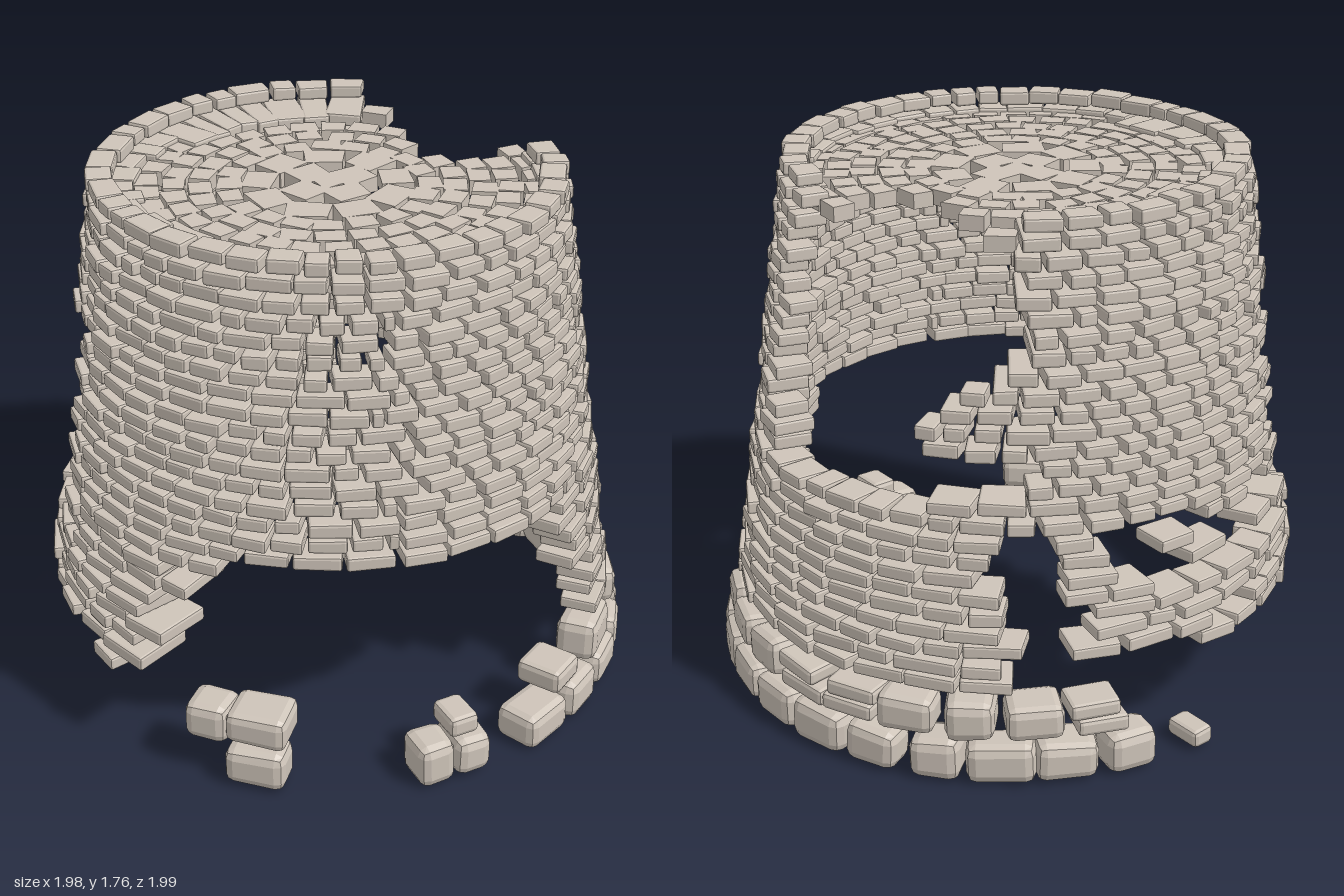
import * as THREE from 'three';
import { mergeGeometries } from 'three/addons/utils/BufferGeometryUtils.js';
import { RoundedBoxGeometry } from 'three/addons/geometries/RoundedBoxGeometry.js';

const CX = -0.035, CZ = 0.02, RAD = Math.PI / 180;
const material = new THREE.MeshStandardMaterial({ color: 0xcec4b9 });

let seed = 7;
const rand = (a = 0, b = 1) => {
  seed = (seed * 16807) % 2147483647;
  return a + (b - a) * (seed / 2147483647);
};

// One irregular stone: a rounded block, wedged and skewed a little,
// centred at radius r and angle deg (0 = front, 90 = +x)
function stone(w, h, d, r, deg, y, wobble = 0.03, round = 0.18) {
  const g = new RoundedBoxGeometry(w, h, d, 1, Math.min(w, h, d) * round);
  const p = g.attributes.position;
  const a = rand(-0.12, 0.12), b = rand(-0.12, 0.12);
  for (let i = 0; i < p.count; i++) {
    const x = p.getX(i), v = p.getY(i), z = p.getZ(i);
    p.setXYZ(i, x * (1 + a * z / d), v * (1 + b * x / w), z * (1 + a * x / w));
  }
  g.computeVertexNormals();
  g.rotateZ(rand(-wobble, wobble));
  g.rotateY(deg * RAD + rand(-wobble, wobble) * 2);
  g.translate(CX + r * Math.sin(deg * RAD), y, CZ + r * Math.cos(deg * RAD));
  return g;
}

// A flat paving slab with a slightly irregular outline
function slab(w, d, x, z, turn, y) {
  const g = new THREE.BoxGeometry(w, 0.05, d).toNonIndexed();
  const p = g.attributes.position;
  const a = rand(-0.2, 0.2), b = rand(-0.2, 0.2);
  for (let i = 0; i < p.count; i++) {
    const u = p.getX(i), v = p.getZ(i);
    p.setX(i, u * (1 + a * v / d));
    p.setZ(i, v * (1 + b * u / w));
  }
  g.computeVertexNormals();
  g.rotateY(turn);
  g.translate(x, y, z);
  return g;
}

// Ruined areas of the wall
function missing(t, y) {
  t += rand(-3, 3);
  const right = 58 - Math.max(0, y - 0.4) * 44;
  const left = 308 + (y - 0.4) * 34;
  if (y < 0.8 && (t < right || t > left)) return true;            // front opening
  if (y < 0.34 && t > 160 && t < 298) return true;                // lost footing
  if (t > 155 && t < 200 && y < 0.8) return rand() < 0.68;        // crumbled back
  if (t >= 200 && t < 216 && y > 0.42 && y < 0.8) return rand() < 0.7;
  if (t >= 216 && t < 236 && y > 0.53 && y < 0.8) return rand() < 0.6;
  if (t > 234 && t < 277 && y > 0.57 && y < 1.29) return true;    // side hole
  if (t > 94 && t < 140 && y > 0.86) return true;                 // upper breach
  return t >= 140 && t < 160 && (y > 1.27 || (y > 0.9 && y < 1.03));
}

const wallRadius = (y) => 0.76 + (1.74 - y) * 0.14;

// Radial thickness of the wall, heaviest around the upper back
function wallDepth(t, y) {
  if (y > 1.72) return 0.085;
  if (y < 0.75 && t > 290) return 0.2;
  if (y < 1.2) return rand(0.115, 0.145);
  if (t > 155 && t < 225) return rand(0.2, 0.25);
  if (t >= 225 && t < 305) return rand(0.14, 0.18);
  return rand(0.09, 0.11);
}

function addMerged(group, name, list) {
  const mesh = new THREE.Mesh(mergeGeometries(list), material);
  mesh.name = name;
  group.add(mesh);
}

export function createModel() {
  const model = new THREE.Group();
  model.name = 'ruinedTower';

  // Brick courses, longer and rougher towards the bottom
  const wall = new THREE.Group();
  wall.name = 'wall';
  model.add(wall);
  const rows = 26;
  for (let i = 0; i < rows; i++) {
    const y = 0.31 + (i * 1.43) / (rows - 1);
    const low = Math.max(0, 1 - i / 14);
    const R = wallRadius(y);
    const list = [];
    const start = rand(0, 8);
    let t = start;
    while (t < 360 + start - 3) {
      const len = rand(0.085, 0.15) + low * rand(0.02, 0.09);
      const step = Math.min(len / R / RAD, 360 + start - t);
      const mid = (t + step / 2) % 360;
      if (!missing(mid, y)) {
        const d = wallDepth(mid, y);
        const out = R + rand(-0.016, 0.006);
        list.push(stone(step * RAD * R - rand(0.008, 0.024), rand(0.042, 0.049), d, out - d / 2, mid,
          y + rand(-0.003, 0.003), 0.015 + low * 0.03));
      }
      t += step;
    }
    addMerged(wall, 'brickCourse' + (i + 1), list);
  }

  // Large footing stones: [angle, y, width, height]
  const base = [[-26, 0.08, 0.2, 0.13], [-37, 0.2, 0.15, 0.13], [-26, 0.21, 0.2, 0.11],
    [9, 0.085, 0.13, 0.15], [17, 0.085, 0.13, 0.13], [15, 0.2, 0.1, 0.07],
    [35, 0.07, 0.2, 0.12], [42, 0.19, 0.15, 0.08], [58, 0.2, 0.21, 0.15], [194, 0.05, 0.08, 0.06]];
  for (let t = 47; t < 181; t += 12) {
    base.push([t, 0.08, rand(0.16, 0.22), rand(0.12, 0.15)]);
    if (t < 65 || t > 175) continue;
    // second course: one block, or two thin stones stacked
    if (rand() < 0.5) base.push([t + 6, 0.21, rand(0.14, 0.2), rand(0.11, 0.14)]);
    else for (const y of [0.185, 0.245]) base.push([t + rand(4, 8), y, rand(0.16, 0.21), 0.055]);
  }
  addMerged(model, 'footingStones', base.map(([t, y, w, h]) => {
    const d = h < 0.07 ? 0.13 : rand(0.13, 0.17);
    const out = (y < 0.15 ? 0.995 : 0.97) + 0.03 * Math.sin(t * RAD) - 0.02 * Math.cos(t * RAD);
    return stone(w, h, d, out - d / 2, t, y, 0.04, 0.25);
  }));

  // Roof paving: concentric rings, stopping at the breach and the thick back wall
  const paving = [];
  const floorY = 1.665;
  const lay = (r, a, w, d, skew) => {
    const x = CX + r * Math.sin(a), z = CZ + r * Math.cos(a);
    const deg = ((a / RAD) % 360 + 360) % 360;
    const breached = x > 0.27 && z < -0.13;
    const covered = (deg > 155 && deg < 225 && r > 0.51) || (deg >= 225 && deg < 305 && r > 0.61);
    if (!breached && !covered) paving.push(slab(w, d, x, z, a + rand(-skew, skew), floorY));
  };
  for (const r of [0.66, 0.575, 0.49, 0.405, 0.32]) {
    const n = Math.round((2 * Math.PI * r) / 0.1);
    const shift = rand(0, 1);
    for (let k = 0; k < n; k++) {
      const a = ((k + shift + rand(-0.07, 0.07)) / n) * Math.PI * 2;
      lay(r + rand(-0.008, 0.008), a, rand(0.078, 0.096), rand(0.07, 0.08), 0.12);
    }
  }
  // Larger slabs in the middle
  for (const [r, n, w, d] of [[0.22, 9, 0.135, 0.11], [0.095, 4, 0.13, 0.12]]) {
    for (let k = 0; k < n; k++) {
      lay(r, ((k + 0.3) / n) * Math.PI * 2, w * rand(0.88, 1.08), d * rand(0.9, 1.08), 0.18);
    }
  }
  lay(0, 0.4, 0.07, 0.07, 0);
  addMerged(model, 'roofPaving', paving);

  return model;
}
